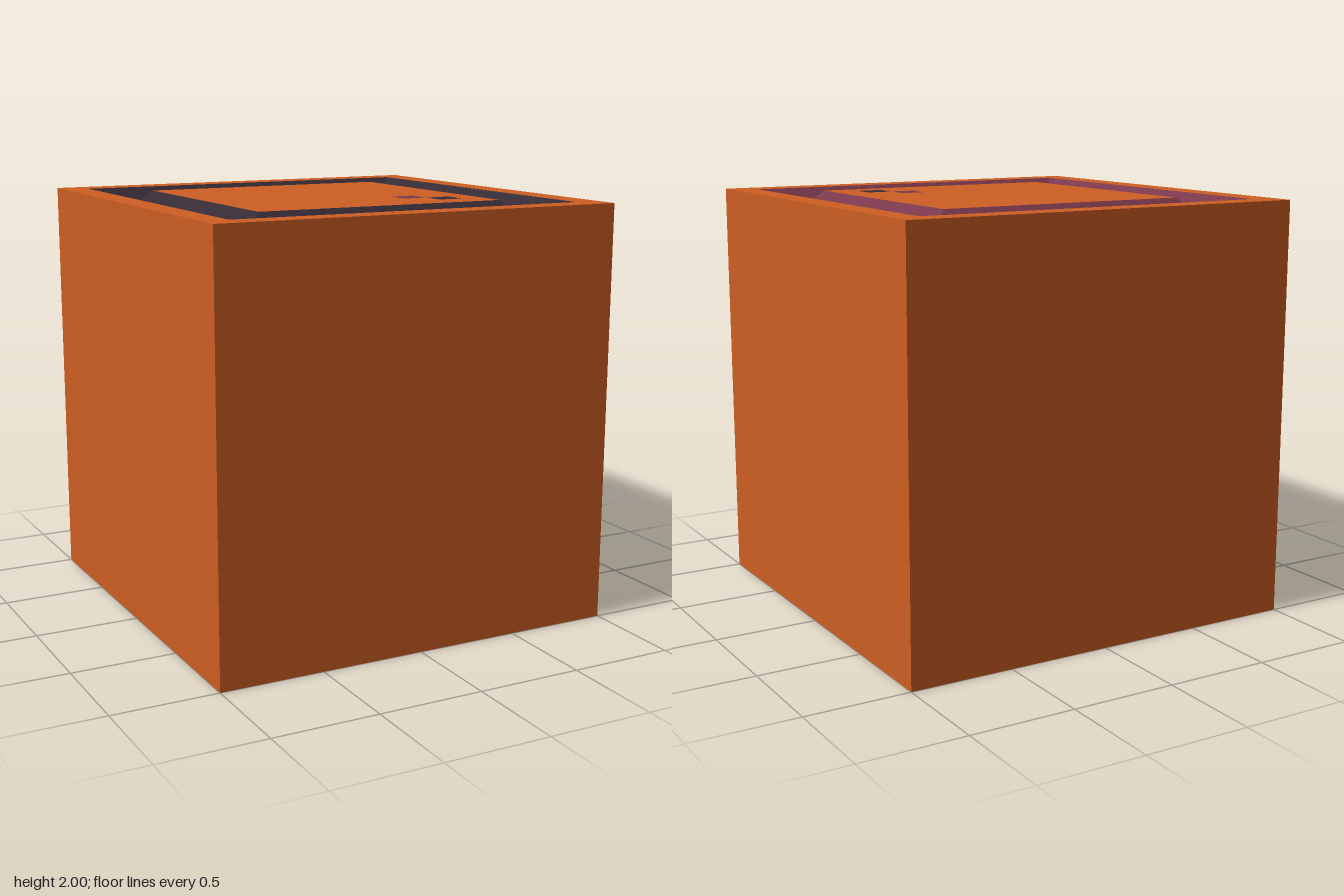
import * as THREE from 'three';

const orange = new THREE.MeshStandardMaterial({ color: 0xcd5e22 });
const plum = new THREE.MeshStandardMaterial({ color: 0x7a384c });
const charcoal = new THREE.MeshStandardMaterial({ color: 0x362c36 });

// Square rings as [half width, height]: rim edge, groove bottom, panel edge
const BASE = [1, 0], TOP = [1, 2], RIM = [0.875, 2], VALLEY = [0.75, 1.875], PANEL = [0.625, 2];

// Front (+z) quad joining a lower/outer ring to the next ring inward
function bandGeometry([r0, y0], [r1, y1]) {
  const geo = new THREE.BufferGeometry();
  geo.setAttribute('position', new THREE.Float32BufferAttribute(
    [-r0, y0, r0, r0, y0, r0, r1, y1, r1, -r1, y1, r1], 3));
  geo.setIndex([0, 1, 2, 0, 2, 3]);
  geo.computeVertexNormals();
  return geo;
}

// Four copies of a band, in the order front, left (+x), back, right (-x)
function ring(name, from, to, materials) {
  const group = new THREE.Group();
  group.name = name;
  const geo = bandGeometry(from, to);
  ['Front', 'Left', 'Back', 'Right'].forEach((side, i) => {
    const mesh = new THREE.Mesh(geo, materials[i % materials.length]);
    mesh.name = name + side;
    mesh.rotation.y = i * Math.PI / 2;
    group.add(mesh);
  });
  return group;
}

function square(name, half, y, up) {
  const mesh = new THREE.Mesh(new THREE.PlaneGeometry(half * 2, half * 2), orange);
  mesh.name = name;
  mesh.rotation.x = up ? -Math.PI / 2 : Math.PI / 2;
  mesh.position.y = y;
  return mesh;
}

// Small rounded marking lying on the top panel
function marking(name, x, z, material) {
  const h = 0.061, r = 0.012;
  const s = new THREE.Shape();
  s.absarc(h - r, h - r, r, 0, Math.PI / 2);
  s.absarc(r - h, h - r, r, Math.PI / 2, Math.PI);
  s.absarc(r - h, r - h, r, Math.PI, Math.PI * 1.5);
  s.absarc(h - r, r - h, r, Math.PI * 1.5, Math.PI * 2);
  const mesh = new THREE.Mesh(new THREE.ShapeGeometry(s, 4), material);
  mesh.name = name;
  mesh.rotation.x = -Math.PI / 2;
  mesh.position.set(x, 2.002, z);
  return mesh;
}

export function createModel() {
  const model = new THREE.Group();
  model.name = 'groovedCube';
  model.add(
    // Cube body
    ring('side', BASE, TOP, [orange]),
    square('bottom', 1, 0, false),
    // Top border, V-shaped groove and centre panel
    ring('topBorder', TOP, RIM, [orange]),
    ring('grooveOuterWall', RIM, VALLEY, [plum, charcoal, charcoal, plum]),
    ring('grooveInnerWall', VALLEY, PANEL, [charcoal, plum, plum, charcoal]),
    square('topPanel', 0.625, 2, true),
    // Markings
    marking('plumMarking', 0.3125, 0.3125, plum),
    marking('charcoalMarking', 0.4355, 0.4355, charcoal),
  );
  return model;
}
